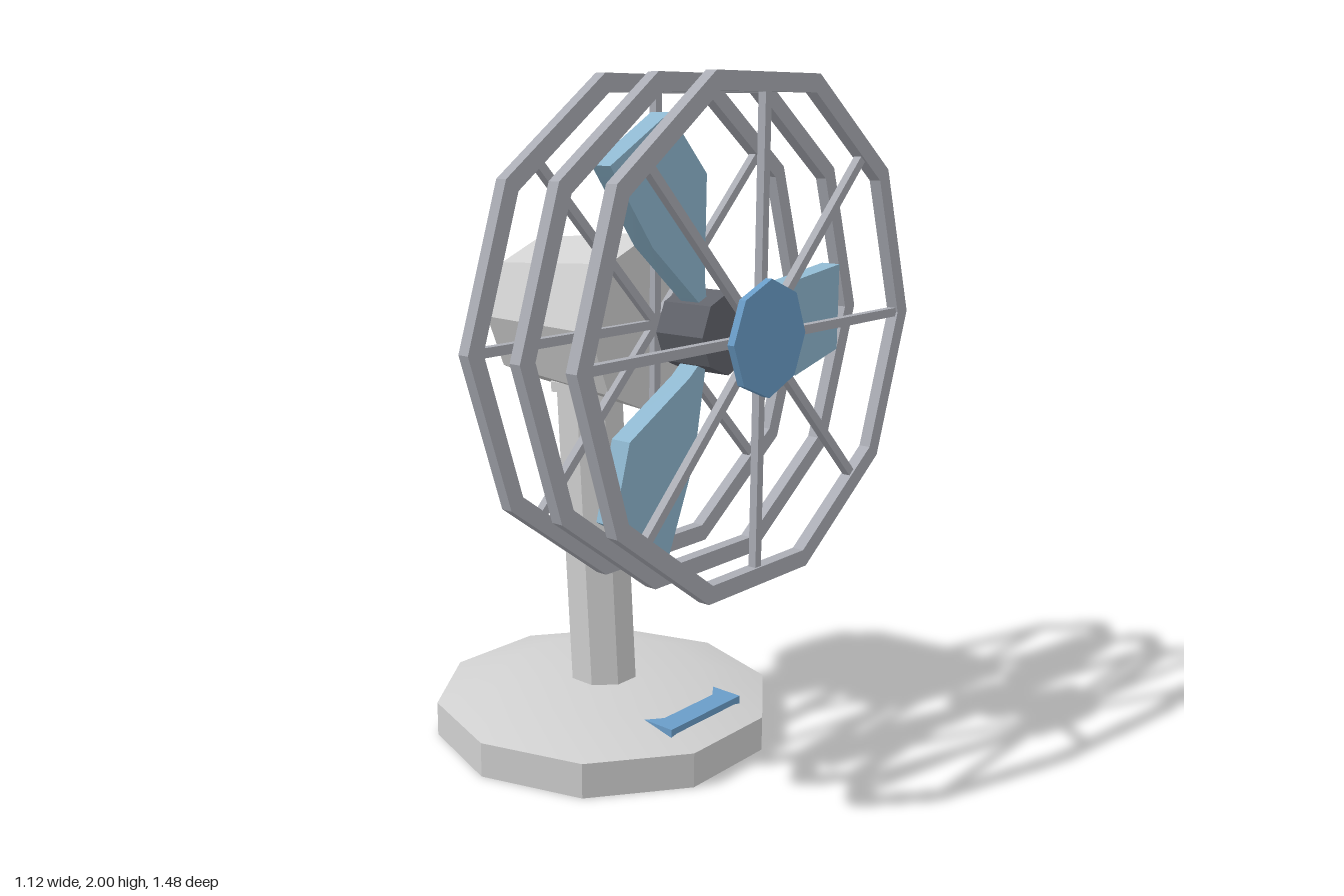
import * as THREE from 'three';
import { toCreasedNormals } from 'three/addons/utils/BufferGeometryUtils.js';

const mat = (name, color) => Object.assign(new THREE.MeshStandardMaterial({ color }), { name });
const AXIS_Y = 1.295;

export function createModel() {
  const body = mat('light grey body', 0xd0d0d0);
  const cage = mat('grey cage', 0xabadb5);
  const dark = mat('dark grey hub', 0x62646c);
  const blue = mat('blue trim', 0x6a9dc8);
  const pale = mat('pale blue blade', 0x8fb8d0);

  const model = new THREE.Group();
  model.name = 'deskFan';

  const add = (parent, name, geometry, material) => {
    const mesh = new THREE.Mesh(toCreasedNormals(geometry, 0.4), material);
    mesh.name = name;
    parent.add(mesh);
    return mesh;
  };

  // Ten-sided base with a shallow sloping top
  const base = new THREE.Group();
  base.name = 'base';
  base.position.x = -0.06;
  model.add(base);
  const profile = [[0, 0], [0.527, 0], [0.527, 0.105], [0.33, 0.16], [0, 0.16]];
  add(base, 'basePlate', new THREE.LatheGeometry(profile.map(p => new THREE.Vector2(...p)), 10), body);

  // Wide switch half sunk in the slope
  add(model, 'switch', new THREE.BoxGeometry(0.12, 0.05, 0.325), blue).position.set(0.295, 0.125, 0);

  // Leaning pillar with a thin collar under the motor
  const pillar = new THREE.Group();
  pillar.name = 'pillar';
  pillar.position.set(-0.06, 0.14, 0);
  pillar.rotation.z = 0.063;
  model.add(pillar);
  add(pillar, 'post', new THREE.CylinderGeometry(0.107, 0.107, 1.04, 8).rotateY(Math.PI / 8), body).position.y = 0.48;
  add(pillar, 'collar', new THREE.CylinderGeometry(0.125, 0.125, 0.03, 8).rotateY(Math.PI / 8), body).position.y = 0.95;

  // Fan head: local z runs along the fan's axis, towards the model's +x
  const head = new THREE.Group();
  head.name = 'head';
  head.position.y = AXIS_Y;
  head.rotation.y = Math.PI / 2;
  model.add(head);

  const drum = (name, rBack, rFront, z0, z1, material) => {
    const g = new THREE.CylinderGeometry(rFront, rBack, z1 - z0, 8).rotateX(Math.PI / 2);
    add(head, name, g, material).position.z = (z0 + z1) / 2;
  };
  drum('motorHousing', 0.222, 0.264, -0.33, 0.135, body);
  drum('rearCap', 0.163, 0.163, -0.393, -0.33, dark);
  drum('bladeHub', 0.118, 0.118, 0.25, 0.415, dark);
  drum('frontCap', 0.163, 0.163, 0.535, 0.557, blue);

  // Ten-sided cage rings; the first and last carry eight spokes
  const polygon = (Type, r) => new Type(Array.from({ length: 10 }, (_, i) =>
    new THREE.Vector2(r * Math.cos(i * Math.PI / 5), r * Math.sin(i * Math.PI / 5))));
  const ringShape = polygon(THREE.Shape, 0.738);
  ringShape.holes.push(polygon(THREE.Path, 0.685));
  [['rearRing', 0.125, true], ['middleRing', 0.312, false], ['frontRing', 0.502, true]].forEach(([name, z, spoked]) => {
    const ring = new THREE.Group();
    ring.name = name;
    ring.position.z = z;
    head.add(ring);
    add(ring, 'rim', new THREE.ExtrudeGeometry(ringShape, { depth: 0.036, bevelEnabled: false }), cage);
    for (let i = 0; spoked && i < 8; i++) {
      const g = new THREE.BoxGeometry(0.695, 0.026, 0.024).translate(0.3475, 0, 0.018);
      add(ring, 'spoke', g, cage).rotation.z = i * Math.PI / 4;
    }
  });

  // Three slab blades
  const outline = [[0.09, -0.01], [0.155, -0.035], [0.4, -0.18], [0.62, -0.125], [0.62, 0.14], [0.35, 0.105], [0.09, 0.01]];
  const bladeShape = new THREE.Shape(outline.map(p => new THREE.Vector2(...p)));
  for (let i = 0; i < 3; i++) {
    const g = new THREE.ExtrudeGeometry(bladeShape, { depth: 0.064, bevelEnabled: false }).translate(0, 0, 0.3);
    add(head, 'blade', g, pale).rotation.z = i * Math.PI * 2 / 3;
  }
  return model;
}
